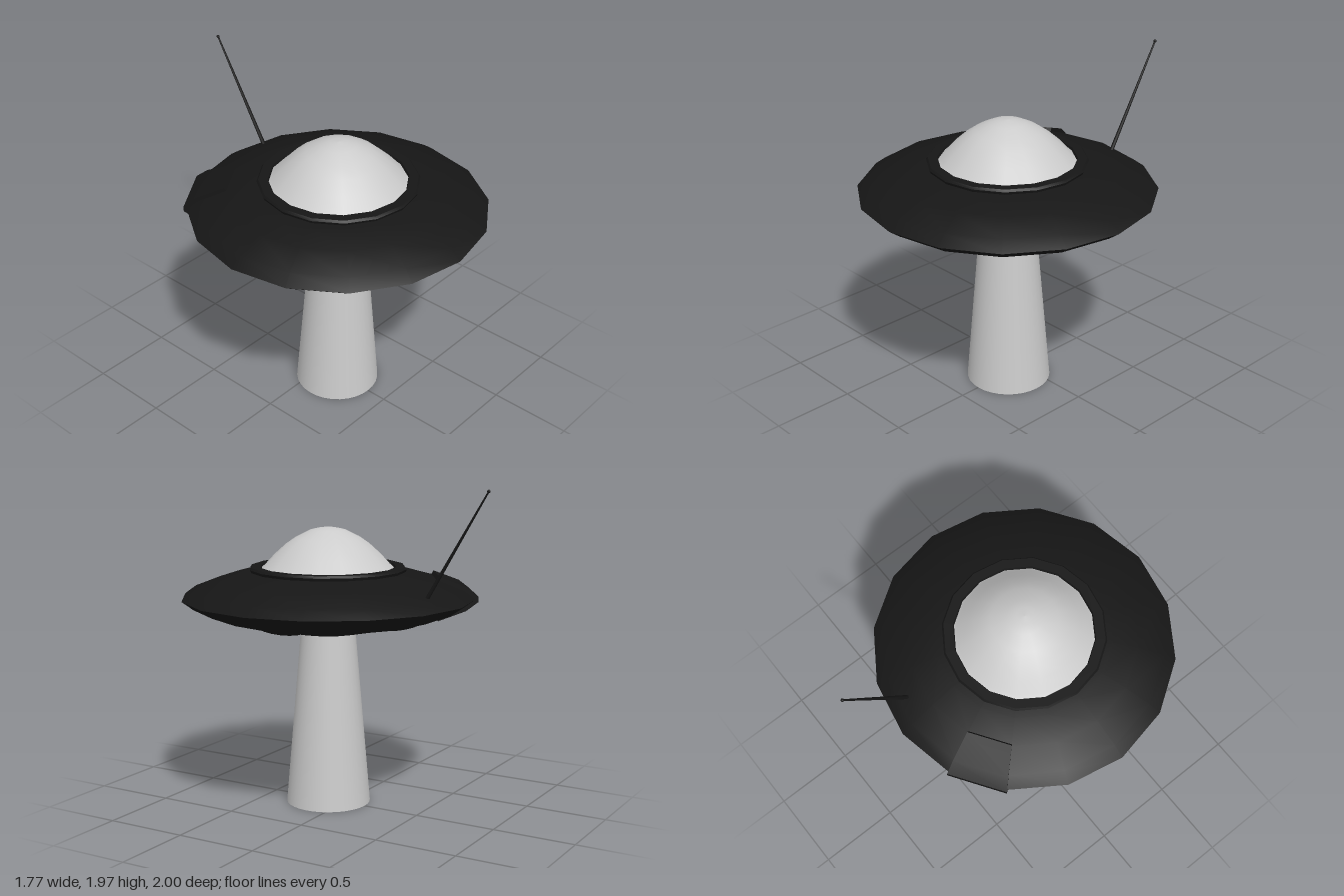
import * as THREE from 'three';
import { toCreasedNormals } from 'three/addons/utils/BufferGeometryUtils.js';

const SIDES = 16;
const CENTRE_Z = 0.115;

const dark = new THREE.MeshStandardMaterial({ color: 0x161616, side: THREE.DoubleSide });
const panel = new THREE.MeshStandardMaterial({ color: 0x444444, side: THREE.DoubleSide });
const grey = new THREE.MeshStandardMaterial({ color: 0xcccccc, side: THREE.DoubleSide });

function add(parent, name, geometry, material) {
  const mesh = new THREE.Mesh(geometry, material);
  mesh.name = name;
  parent.add(mesh);
  return mesh;
}

// Profiles are [radius, height], listed from bottom to top
function lathe(profile, start = 0, length = Math.PI * 2, sides = SIDES) {
  const points = profile.map(([r, y]) => new THREE.Vector2(r, y));
  return new THREE.LatheGeometry(points, sides, start, length);
}

export function createModel() {
  const model = new THREE.Group();
  model.name = 'flyingSaucer';

  const saucer = new THREE.Group();
  saucer.name = 'saucer';
  saucer.position.z = CENTRE_Z;
  model.add(saucer);

  // Lens-shaped hull with a sharp rim
  const hull = lathe([
    [0.24, 1.075], [0.4, 1.112], [0.66, 1.165], [0.815, 1.225], [0.885, 1.277],
    [0.815, 1.328], [0.66, 1.388], [0.51, 1.43], [0.4, 1.44],
  ]);
  add(saucer, 'hull', toCreasedNormals(hull, 0.7), dark);

  // Disc closing the underside, around the beam
  const disc = new THREE.CircleGeometry(0.24, SIDES).rotateX(Math.PI / 2);
  add(saucer, 'bellyDisc', disc, panel).position.y = 1.078;

  // Raised collar around the dome
  const collar = lathe([[0.465, 1.425], [0.475, 1.45], [0.465, 1.463], [0.41, 1.463], [0.4, 1.435]]);
  add(saucer, 'domeCollar', toCreasedNormals(collar, 0.6), dark);

  // Dome with a slightly flared foot
  add(saucer, 'dome', lathe([
    [0.408, 1.445], [0.385, 1.465], [0.325, 1.53], [0.255, 1.593],
    [0.195, 1.635], [0.105, 1.68], [0.05, 1.692], [0, 1.697],
  ]), grey);

  // Four shallow pods under the hull
  for (let i = 0; i < 4; i++) {
    const arm = new THREE.Group();
    arm.name = 'podArm';
    arm.rotation.y = i * Math.PI / 2;
    const pod = add(arm, 'pod', new THREE.SphereGeometry(0.135, 12, 8), dark);
    pod.scale.y = 0.25;
    pod.position.set(0.52, 1.156, 0);
    pod.rotation.z = 0.23;
    saucer.add(arm);
  }

  // Hatch wrapped over one facet of the rim
  const hatch = new THREE.Group();
  hatch.name = 'hatch';
  saucer.add(hatch);
  const step = Math.PI * 2 / SIDES;
  const start = step * 9;
  const wedge = [
    [0.64, 1.19], [0.665, 1.14], [0.83, 1.205], [0.903, 1.262],
    [0.903, 1.292], [0.83, 1.348], [0.665, 1.412], [0.64, 1.37],
  ];
  add(hatch, 'hatchShell', toCreasedNormals(lathe(wedge, start, step, 1), 0.3), dark);
  const side = new THREE.Shape(wedge.map(([r, y]) => new THREE.Vector2(r, y)));
  for (const angle of [start, start + step]) {
    add(hatch, 'hatchSide', new THREE.ShapeGeometry(side), dark).rotation.y = angle - Math.PI / 2;
  }

  // Open, widening beam down to the ground
  const beam = add(saucer, 'beam', new THREE.CylinderGeometry(0.165, 0.257, 1.08, 32, 1, true), grey);
  beam.position.y = 0.54;

  // Tilted antenna with a small ball tip
  const base = new THREE.Vector3(0.142, 1.34, -0.625);
  const tip = new THREE.Vector3(0.142, 1.957, -0.99);
  const direction = tip.clone().sub(base);
  const rod = add(model, 'antenna', new THREE.CylinderGeometry(0.005, 0.012, direction.length(), 8), dark);
  rod.position.copy(base).lerp(tip, 0.5);
  rod.quaternion.setFromUnitVectors(new THREE.Vector3(0, 1, 0), direction.normalize());
  add(model, 'antennaTip', new THREE.SphereGeometry(0.01, 8, 6), dark).position.copy(tip);

  return model;
}
